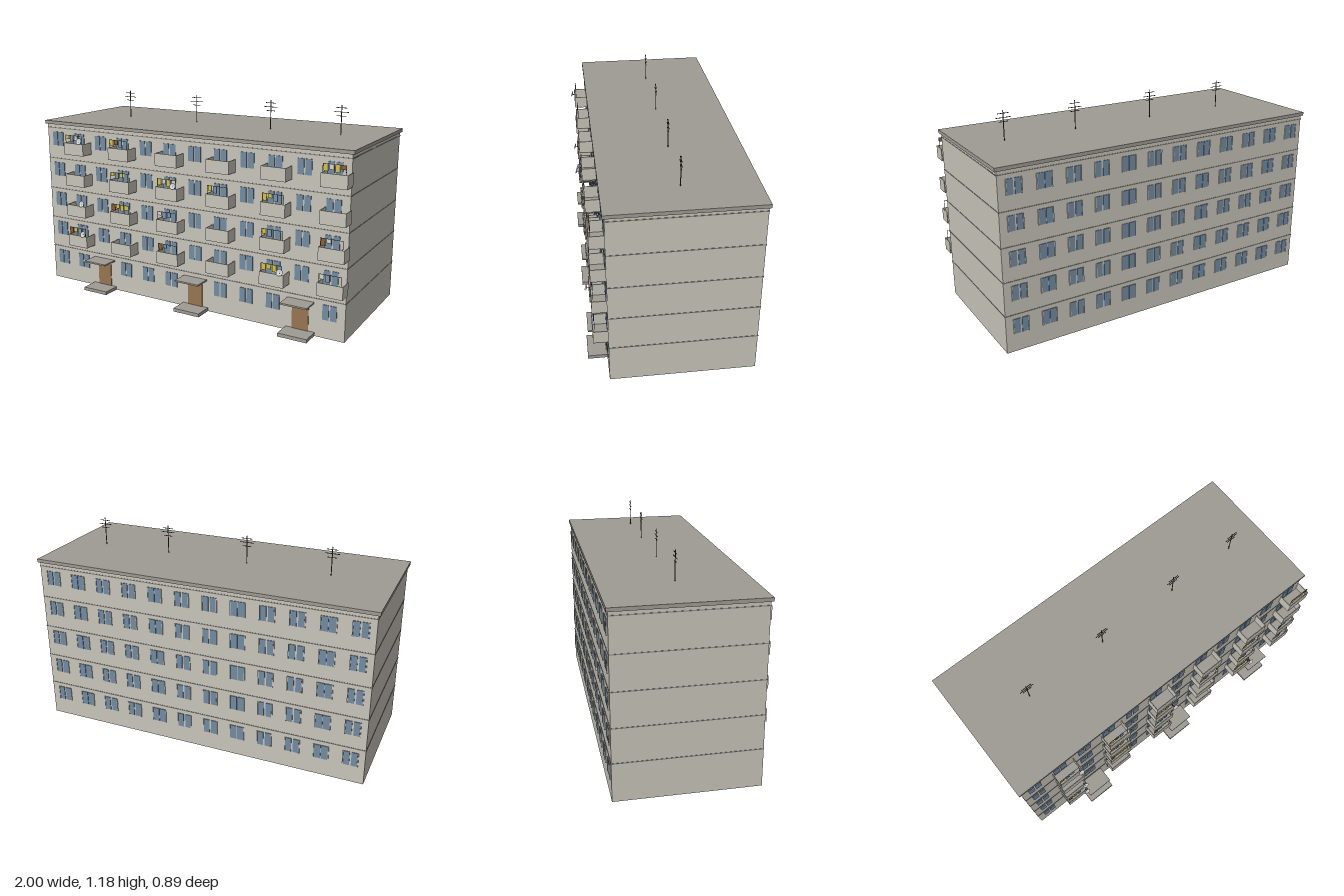
import * as THREE from 'three';

const mat = (name, color) => Object.assign(new THREE.MeshStandardMaterial({ color }), { name });

export function createModel() {
  const M = {
    wall: mat('wall panel', 0xc8c4ba),
    concrete: mat('grey concrete', 0x9f9b94),
    seam: mat('seam grey', 0x8d8a82),
    glass: mat('window glass', 0x738ba2),
    door: mat('door brown', 0x977450),
    metal: mat('dark metal', 0x45433f),
    yellow: mat('yellow cloth', 0xd6c04a),
    white: mat('white cloth', 0xd4d6d4),
    blue: mat('blue cloth', 0x7d95ad),
    brown: mat('brown cloth', 0x8a6038),
  };
  const model = new THREE.Group();
  model.name = 'apartmentBlock';

  // Box given by its limits on each axis
  function box(parent, name, m, x0, x1, y0, y1, z0, z1) {
    const mesh = new THREE.Mesh(new THREE.BoxGeometry(x1 - x0, y1 - y0, z1 - z0), m);
    mesh.position.set((x0 + x1) / 2, (y0 + y1) / 2, (z0 + z1) / 2);
    mesh.name = name;
    parent.add(mesh);
    return mesh;
  }
  function group(name, x = 0, y = 0, z = 0) {
    const g = new THREE.Group();
    g.name = name;
    g.position.set(x, y, z);
    model.add(g);
    return g;
  }

  const FRONT = 0.342, BACK = -0.437, FLOOR = 0.191;
  const columnX = (i) => -0.908 + i * 0.1645;

  // Main body, floor seams and roof
  box(model, 'body', M.wall, -0.988, 0.988, 0, 1, BACK, FRONT);
  for (let f = 0; f < 5; f++) {
    const y = 0.211 + f * FLOOR;
    box(model, 'floorSeam', M.seam, -0.99, 0.99, y, y + 0.005, BACK - 0.002, FRONT + 0.002);
  }
  box(model, 'roof', M.concrete, -1, 1, 1, 1.02, -0.446, 0.353);

  // Windows: paired panes in front, pairs and wide ones behind
  const entrances = [2, 6, 10];
  for (let f = 0; f < 5; f++) {
    const y0 = 0.105 + f * FLOOR, y1 = y0 + 0.084;
    for (let i = 0; i < 12; i++) {
      const x = columnX(i);
      if (f > 0 || !entrances.includes(i)) {
        for (const s of [-1, 1]) {
          const c = x + s * 0.022;
          box(model, 'frontWindow', M.glass, c - 0.018, c + 0.018, y0, y1, FRONT - 0.002, FRONT + 0.004);
        }
      }
      const wide = i % 3 === 1;
      const half = wide ? 0.019 : 0.017, offset = wide ? 0.0205 : 0.022;
      for (const s of [-1, 1]) {
        const c = x + s * offset;
        box(model, 'backWindow', M.glass, c - half, c + half, y0, y1, BACK - 0.004, BACK + 0.002);
        // Jambs beside the panes
        const j = x + s * 0.042;
        box(model, 'backWindowJamb', M.wall, j - 0.002, j + 0.002, y0, y1, BACK - 0.006, BACK + 0.002);
      }
    }
  }

  // Entrances: door, step and canopy
  for (const i of entrances) {
    const g = group('entrance', columnX(i) - 0.001, 0, 0);
    box(g, 'door', M.door, -0.048, 0.048, 0.02, 0.157, FRONT - 0.002, FRONT + 0.004);
    box(g, 'step', M.concrete, -0.084, 0.084, 0, 0.02, FRONT, 0.447);
    box(g, 'canopy', M.concrete, -0.077, 0.077, 0.181, 0.19, FRONT, 0.441);
  }

  // Balconies: laundry per floor and column (y, w, b, n = cloth), D = dish at left, R = dish at right
  const cloth = { y: M.yellow, w: M.white, b: M.blue, n: M.brown };
  const laundry = [
    ['nybR', '', 'nb', '', 'yyybR', 'wb'],
    ['R', 'nyyy', 'wbb', '', 'yb', 'nw'],
    ['', 'yby', 'ywywR', 'yb', 'yyb', ''],
    ['ybwR', 'ynb', '', '', '', 'ywyn'],
  ];
  const dishGeometry = new THREE.LatheGeometry(
    [[0, 0], [0.01, 0.002], [0.019, 0.007]].map(([r, y]) => new THREE.Vector2(r, y)), 14);
  const dishMat = M.white;
  dishMat.side = THREE.DoubleSide;

  laundry.forEach((row, f) => row.forEach((items, i) => {
    const g = group('balcony', -0.724 + i * 0.3298, 0.263 + f * FLOOR, 0);
    const w = 0.071, h = 0.072, zf = 0.42, t = 0.004;
    box(g, 'balconyFloor', M.concrete, -w, w, 0, 0.006, FRONT, zf - t);
    box(g, 'balconyFront', M.wall, -w, w, 0, h, zf - t, zf);
    for (const s of [-1, 1]) {
      const c = s * (w - t / 2);
      box(g, 'balconySide', M.wall, c - t / 2, c + t / 2, 0, h, FRONT, zf - t);
    }
    const cloths = items.replace('R', '');
    if (cloths) {
      // Clothes line on two posts
      box(g, 'clothesLine', M.metal, -w + 0.006, w - 0.012, 0.117, 0.119, 0.409, 0.411);
      for (const x of [-w + 0.006, w - 0.014])
        box(g, 'clothesPost', M.metal, x, x + 0.002, h - 0.03, 0.119, 0.409, 0.411);
      [...cloths].forEach((k, n) => {
        const x = -0.06 + n * 0.031;
        const drop = [0.036, 0.027, 0.038, 0.022][(n + f + i) % 4];
        box(g, 'laundry', cloth[k], x, x + 0.024, 0.118 - drop, 0.118, 0.4075, 0.4125);
      });
    }
    if (items.includes('R')) {
      // Satellite dish on the rail
      const dish = new THREE.Mesh(dishGeometry, dishMat);
      dish.name = 'satelliteDish';
      dish.position.set(0.056, 0.09, 0.43);
      dish.rotation.x = Math.PI / 2 - 0.35;
      g.add(dish);
      box(g, 'dishArm', M.metal, 0.054, 0.057, 0.086, 0.089, 0.414, 0.432);
      box(g, 'dishPost', M.metal, 0.054, 0.057, 0.06, 0.089, 0.414, 0.417);
    }
  }));

  // Roof antennas
  for (const x of [-0.64, -0.146, 0.35, 0.775]) {
    const g = group('antenna', x, 1.02, -0.047);
    const mast = new THREE.Mesh(new THREE.CylinderGeometry(0.0025, 0.0025, 0.164, 6), M.metal);
    mast.name = 'mast';
    mast.position.y = 0.082;
    g.add(mast);
    [[0.102, 0.027], [0.124, 0.042], [0.147, 0.032]].forEach(([y, r]) =>
      box(g, 'antennaBar', M.metal, -r, r, y, y + 0.003, -0.0015, 0.0015));
  }
  return model;
}
